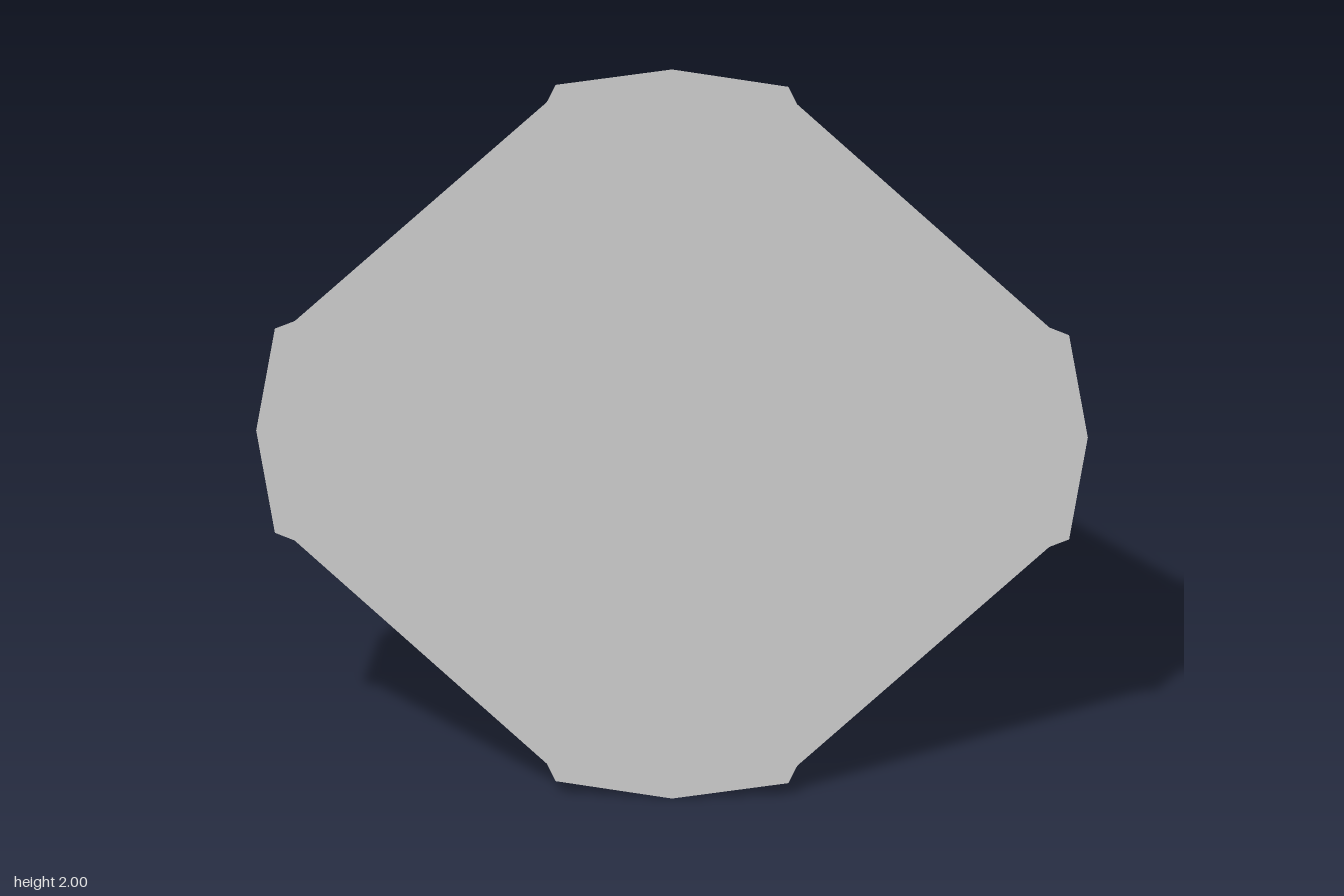
import * as THREE from 'three';

const material = new THREE.MeshStandardMaterial({ color: 0xcccccc, flatShading: true });
const FRONT = 0.035, BACK = -0.035;

// Skin a list of { pts, z } outlines (counter-clockwise seen from +z) and close both ends.
function loft(rings) {
  const positions = [];
  const put = (ring, i) => {
    const p = ring.pts[i % ring.pts.length];
    positions.push(p.x, p.y, ring.z);
  };
  const cap = (ring, flip) => {
    for (const [a, b, c] of THREE.ShapeUtils.triangulateShape(ring.pts, [])) {
      for (const i of flip ? [a, c, b] : [a, b, c]) put(ring, i);
    }
  };
  cap(rings[0], false);
  for (let k = 0; k < rings.length - 1; k++) {
    const a = rings[k], b = rings[k + 1];
    for (let i = 0; i < a.pts.length; i++) {
      put(a, i); put(b, i); put(a, i + 1);
      put(a, i + 1); put(b, i); put(b, i + 1);
    }
  }
  cap(rings[rings.length - 1], true);
  const geometry = new THREE.BufferGeometry();
  geometry.setAttribute('position', new THREE.Float32BufferAttribute(positions, 3));
  geometry.computeVertexNormals();
  return geometry;
}

// Twelve-sided outline: a shallow point on each of four sides, joined by long diagonals.
function outline(r, z) {
  const pts = [];
  for (let q = 0; q < 4; q++) {
    for (const [x, y] of [[0.317, 0.955], [0, 1], [-0.317, 0.955]]) {
      pts.push(new THREE.Vector2(x * r, y * r).rotateAround(new THREE.Vector2(), q * Math.PI / 2));
    }
  }
  return { pts, z };
}

// Crescent outline of one edge tab, along the top of the plate.
function tabOutline(tip, halfWidth, shoulder, inner, z) {
  const pts = [
    [halfWidth, shoulder], [0, tip], [-halfWidth, shoulder],
    [-0.317 * inner, 0.955 * inner], [0, inner], [0.317 * inner, 0.955 * inner],
  ].map(([x, y]) => new THREE.Vector2(x, y));
  return { pts, z };
}

export function createModel() {
  const model = new THREE.Group();
  model.name = 'framedPlate';

  // Plate: flat front, sloping sides, raised back rim and stepped recess
  const plate = new THREE.Mesh(loft([
    outline(0.95, FRONT),
    outline(0.885, BACK),
    outline(0.86, BACK),
    outline(0.835, -0.018),
    outline(0.81, -0.018),
    outline(0.79, -0.008),
  ]), material);
  plate.name = 'plate';
  plate.position.y = 1;
  model.add(plate);

  // Four bevelled tabs, one on each pointed side
  const tabGeometry = loft([
    tabOutline(1, 0.28, 0.955, 0.95, FRONT),
    tabOutline(0.96, 0.265, 0.918, 0.9175, 0),
  ]);
  ['topTab', 'leftTab', 'bottomTab', 'rightTab'].forEach((name, i) => {
    const tab = new THREE.Mesh(tabGeometry, material);
    tab.name = name;
    tab.position.y = 1;
    tab.rotation.z = -i * Math.PI / 2;
    model.add(tab);
  });

  return model;
}
